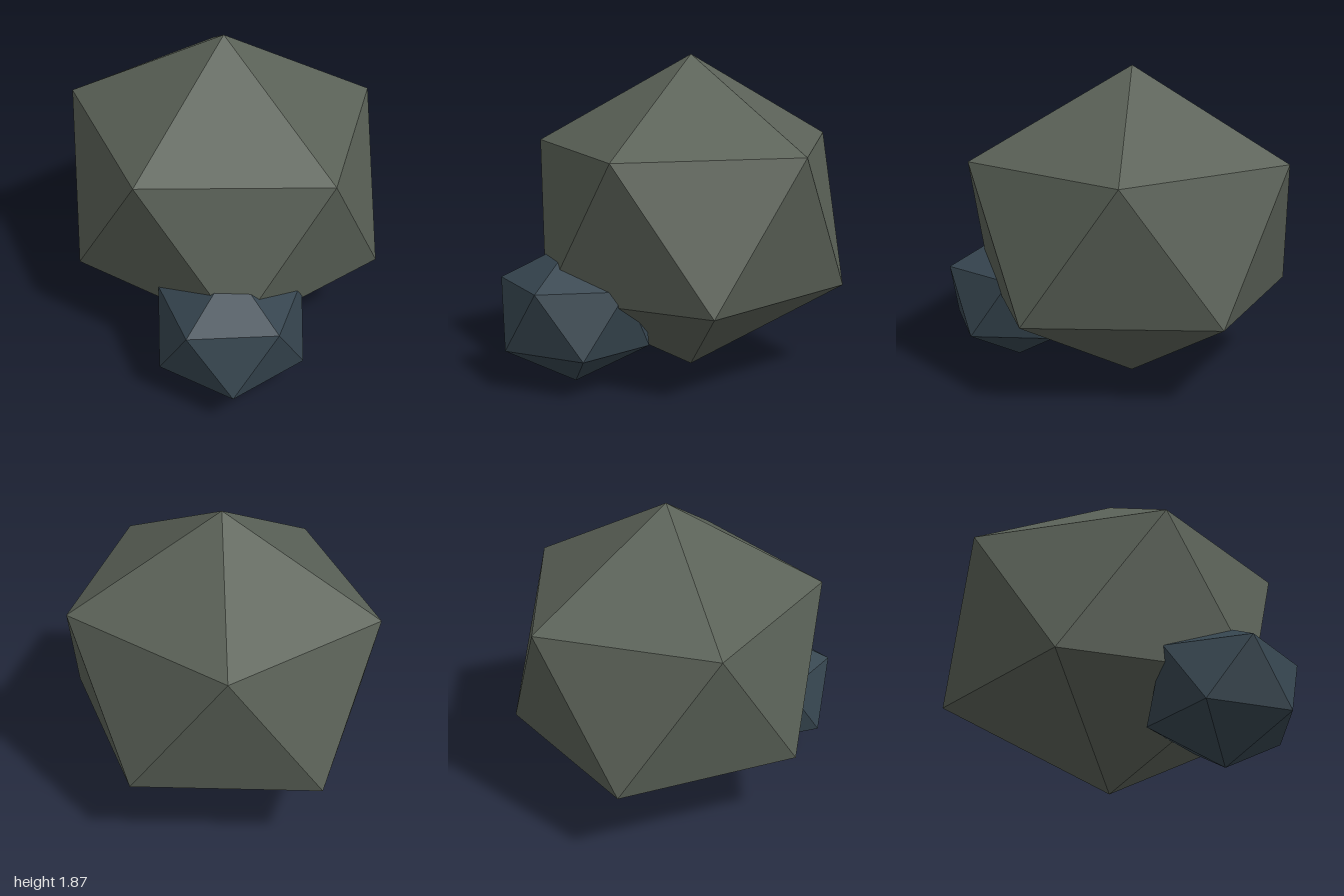
import * as THREE from 'three';

// Upright 20-sided rock: two poles and two staggered rings of five points
function rockGeometry(rx, ry, rz) {
  const ring = (y, offset) => Array.from({ length: 5 }, (_, i) => {
    const a = (i + offset) * Math.PI * 0.4;
    return [rx * Math.cos(a), y, rz * Math.sin(a)];
  });
  const h = ry / Math.sqrt(5);
  const upper = ring(h, 0), lower = ring(-h, 0.5);
  const top = [0, ry, 0], bottom = [0, -ry, 0];
  const corners = [];
  for (let i = 0; i < 5; i++) {
    const j = (i + 1) % 5;
    corners.push(
      top, upper[j], upper[i],
      upper[i], upper[j], lower[i],
      lower[i], upper[j], lower[j],
      bottom, lower[i], lower[j]
    );
  }
  const geometry = new THREE.BufferGeometry();
  geometry.setAttribute('position', new THREE.Float32BufferAttribute(corners.flat(), 3));
  geometry.computeVertexNormals();
  return geometry;
}

function makeRock(name, color, colorName, radii, position) {
  const material = new THREE.MeshStandardMaterial({ color, flatShading: true });
  material.name = colorName;
  const mesh = new THREE.Mesh(rockGeometry(...radii), material);
  mesh.name = name;
  mesh.position.set(...position);
  return mesh;
}

export function createModel() {
  const group = new THREE.Group();
  group.name = 'rocks';
  // Large boulder, with a smaller stone sunk into its front left side
  group.add(
    makeRock('largeRock', 0x5a6157, 'mossGrey', [0.965, 0.935, 0.9], [-0.035, 0.935, 0]),
    makeRock('smallRock', 0x36454f, 'slateBlue', [0.42, 0.416, 0.436], [0.58, 0.42, 0.44])
  );
  return group;
}
